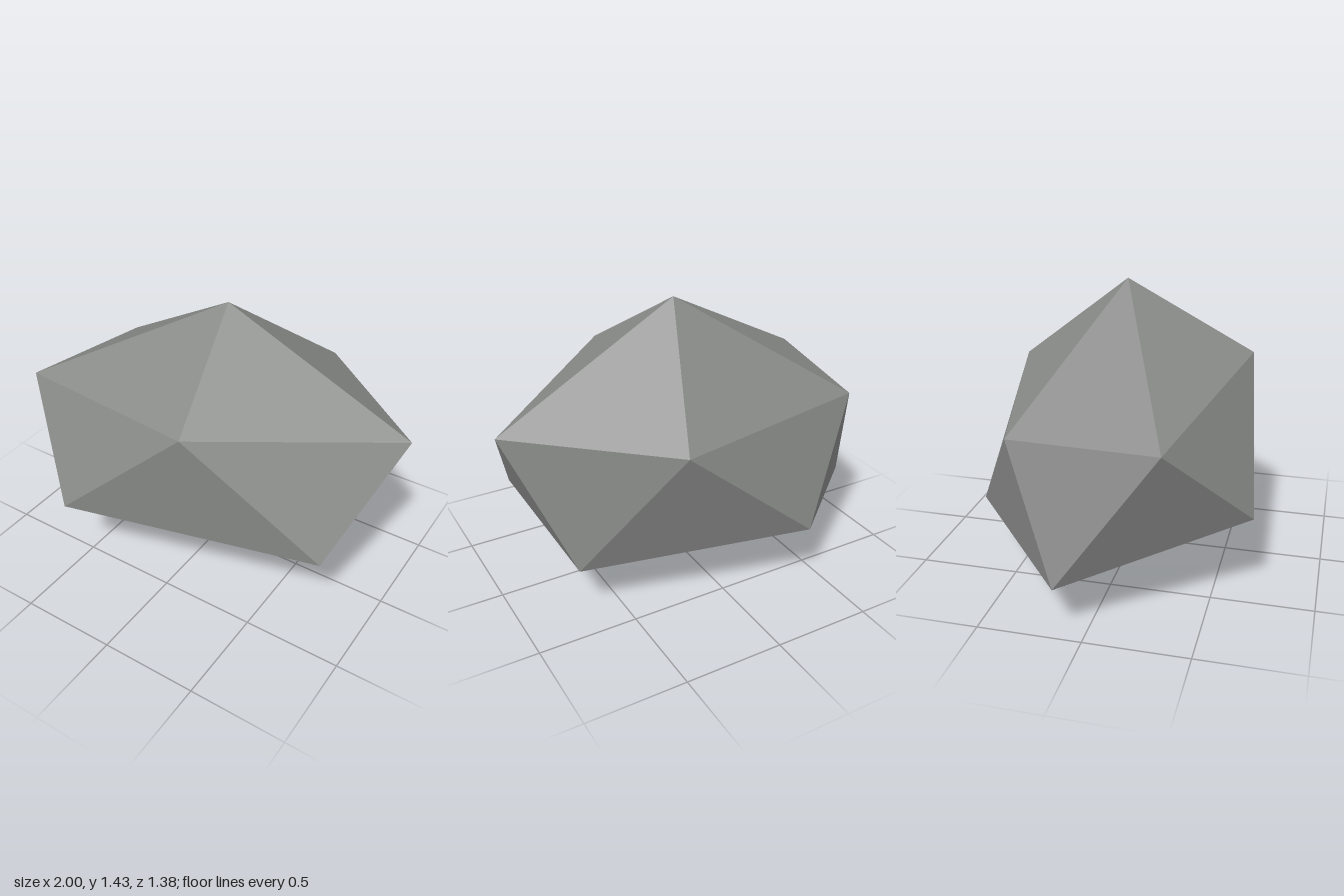
import * as THREE from 'three';

export function createModel() {
  const group = new THREE.Group();
  group.name = 'rock';

  const stone = new THREE.MeshStandardMaterial({ color: 0x8a8c8a });
  stone.name = 'stone grey';

  // Irregular twenty-sided boulder: two poles and two staggered rings of five
  const peak = [0.03, 1.43, -0.04];
  const base = [-0.05, 0, -0.09];
  const upper = [
    [0.17, 1.05, 0.585], [0.995, 0.94, -0.12], [0.31, 0.92, -0.685],
    [-0.82, 0.87, -0.39], [-0.93, 0.905, 0.34],
  ];
  const lower = [
    [0.8, 0.435, 0.355], [0.72, 0.27, -0.36], [-0.38, 0.345, -0.693],
    [-1, 0.25, -0.13], [-0.485, 0.44, 0.69],
  ];

  // Each step round the rings adds a top facet, two side facets and a bottom one
  const corners = [];
  for (let i = 0; i < 5; i++) {
    const j = (i + 1) % 5;
    corners.push(
      peak, upper[i], upper[j],
      upper[i], lower[i], upper[j],
      upper[j], lower[i], lower[j],
      base, lower[j], lower[i],
    );
  }

  // Unshared corners give flat facets
  const geometry = new THREE.BufferGeometry();
  geometry.setAttribute('position', new THREE.Float32BufferAttribute(corners.flat(), 3));
  geometry.computeVertexNormals();

  const boulder = new THREE.Mesh(geometry, stone);
  boulder.name = 'boulder';
  group.add(boulder);
  return group;
}
